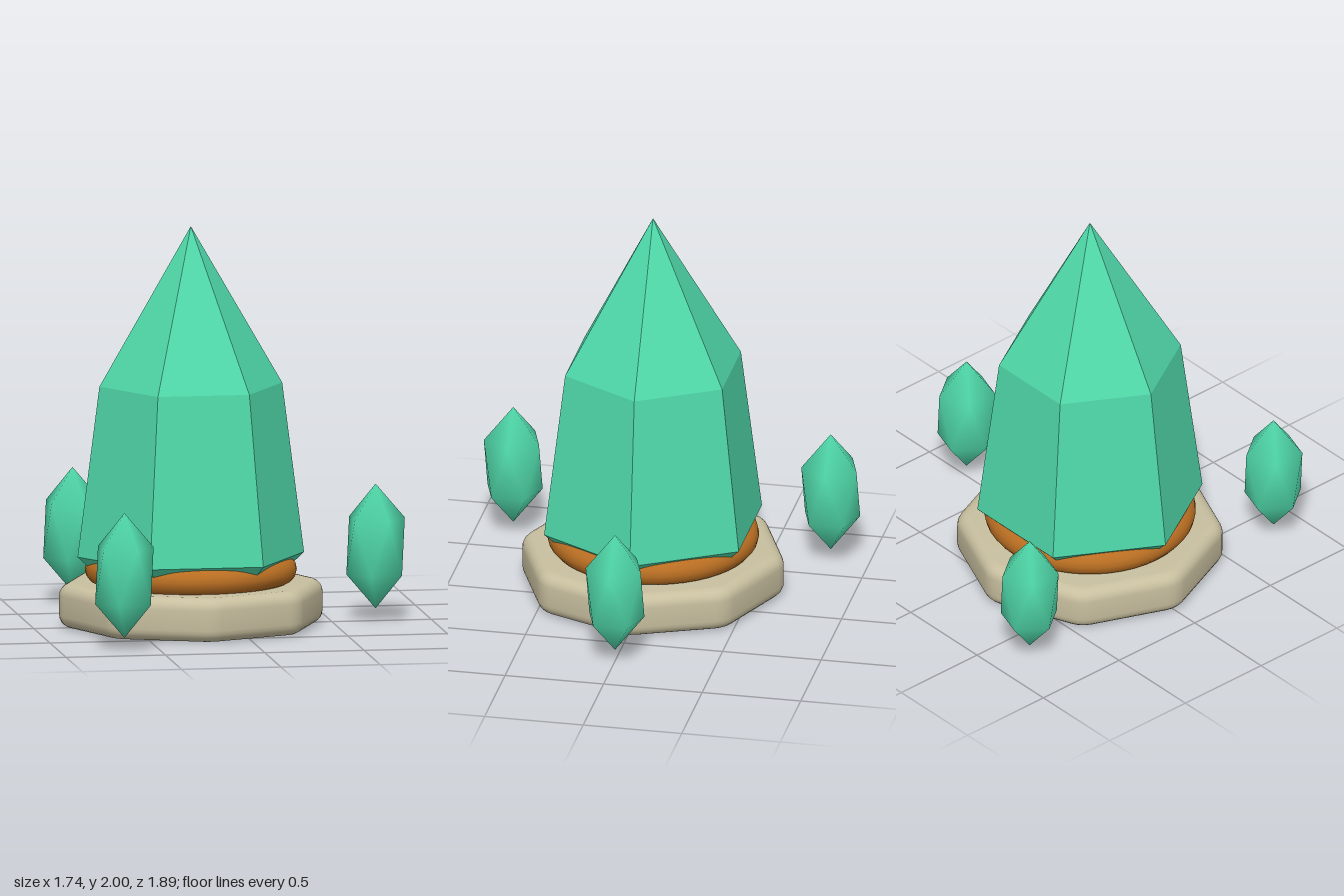
import * as THREE from 'three';
import { toCreasedNormals } from 'three/addons/utils/BufferGeometryUtils.js';

const CENTRE_X = -0.21; // axis of the pedestal and the large crystal

function material(name, color) {
  const m = new THREE.MeshStandardMaterial({ color });
  m.name = name;
  return m;
}

// Octagonal slab with rounded corners and rounded rims
function stoneGeometry() {
  const points = [];
  for (let corner = 0; corner < 8; corner++) {
    const a = (corner * Math.PI) / 4;
    for (let j = 0; j <= 3; j++) {
      const b = a + (j / 3 - 0.5) * (Math.PI / 4);
      points.push(new THREE.Vector2(
        0.51 * Math.cos(a) + 0.09 * Math.cos(b),
        0.51 * Math.sin(a) + 0.09 * Math.sin(b)
      ));
    }
  }
  const slab = new THREE.ExtrudeGeometry(new THREE.Shape(points), {
    depth: 0.1, bevelThickness: 0.06, bevelSize: 0.06, bevelSegments: 5
  });
  slab.rotateX(-Math.PI / 2).translate(0, 0.06, 0);
  return toCreasedNormals(slab, 0.6);
}

// Six-sided faceted crystal with a short tapered root
function largeCrystalGeometry() {
  const profile = [[0, -0.002], [0.19, -0.002], [0.57, 0.352], [0.46, 1.205], [0, 2]]
    .map(([r, y]) => new THREE.Vector2(r, y));
  const g = new THREE.LatheGeometry(profile, 6, Math.PI / 2).toNonIndexed();
  g.computeVertexNormals();
  return g;
}

// Stretched twenty-sided gem: two tips and two staggered five-point rings
function shardGeometry() {
  const r = 0.147, ringY = 0.14, tipY = 0.313;
  const positions = [0, tipY, 0, 0, -tipY, 0];
  for (let i = 0; i < 5; i++) {
    const a = (i * 2 * Math.PI) / 5, b = a + Math.PI / 5;
    positions.push(r * Math.cos(a), ringY, r * Math.sin(a));
    positions.push(r * Math.cos(b), -ringY, r * Math.sin(b));
  }
  const upper = (i) => 2 + 2 * (i % 5);
  const lower = (i) => 3 + 2 * (i % 5);
  const index = [];
  for (let i = 0; i < 5; i++) {
    index.push(0, upper(i + 1), upper(i));
    index.push(upper(i), upper(i + 1), lower(i));
    index.push(upper(i + 1), lower(i + 1), lower(i));
    index.push(1, lower(i), lower(i + 1));
  }
  const g = new THREE.BufferGeometry();
  g.setAttribute('position', new THREE.Float32BufferAttribute(positions, 3));
  g.setIndex(index);
  g.computeVertexNormals();
  return g;
}

export function createModel() {
  const model = new THREE.Group();
  model.name = 'crystalShrine';
  const green = material('crystalGreen', 0x50d9aa);
  const stone = material('paleStone', 0xc8bf9f);
  const bronze = material('bronze', 0xb96e22);

  function add(name, geometry, mat, x, y, z) {
    const mesh = new THREE.Mesh(geometry, mat);
    mesh.name = name;
    mesh.position.set(x, y, z);
    model.add(mesh);
  }

  add('stoneBase', stoneGeometry(), stone, CENTRE_X, 0, 0);

  // Bronze collar between stone and crystal
  const ring = new THREE.TorusGeometry(0.46, 0.067, 14, 48).rotateX(Math.PI / 2);
  add('bronzeRing', ring, bronze, CENTRE_X, 0.28, 0);

  add('largeCrystal', largeCrystalGeometry(), green, CENTRE_X, 0, 0);

  // Three shards floating around the centre
  const shard = shardGeometry();
  for (let i = 0; i < 3; i++) {
    const a = (i * 2 * Math.PI) / 3;
    add('floatingShard' + (i + 1), shard, green,
      CENTRE_X + 0.93 * Math.cos(a), 0.373, 0.93 * Math.sin(a));
  }
  return model;
}
